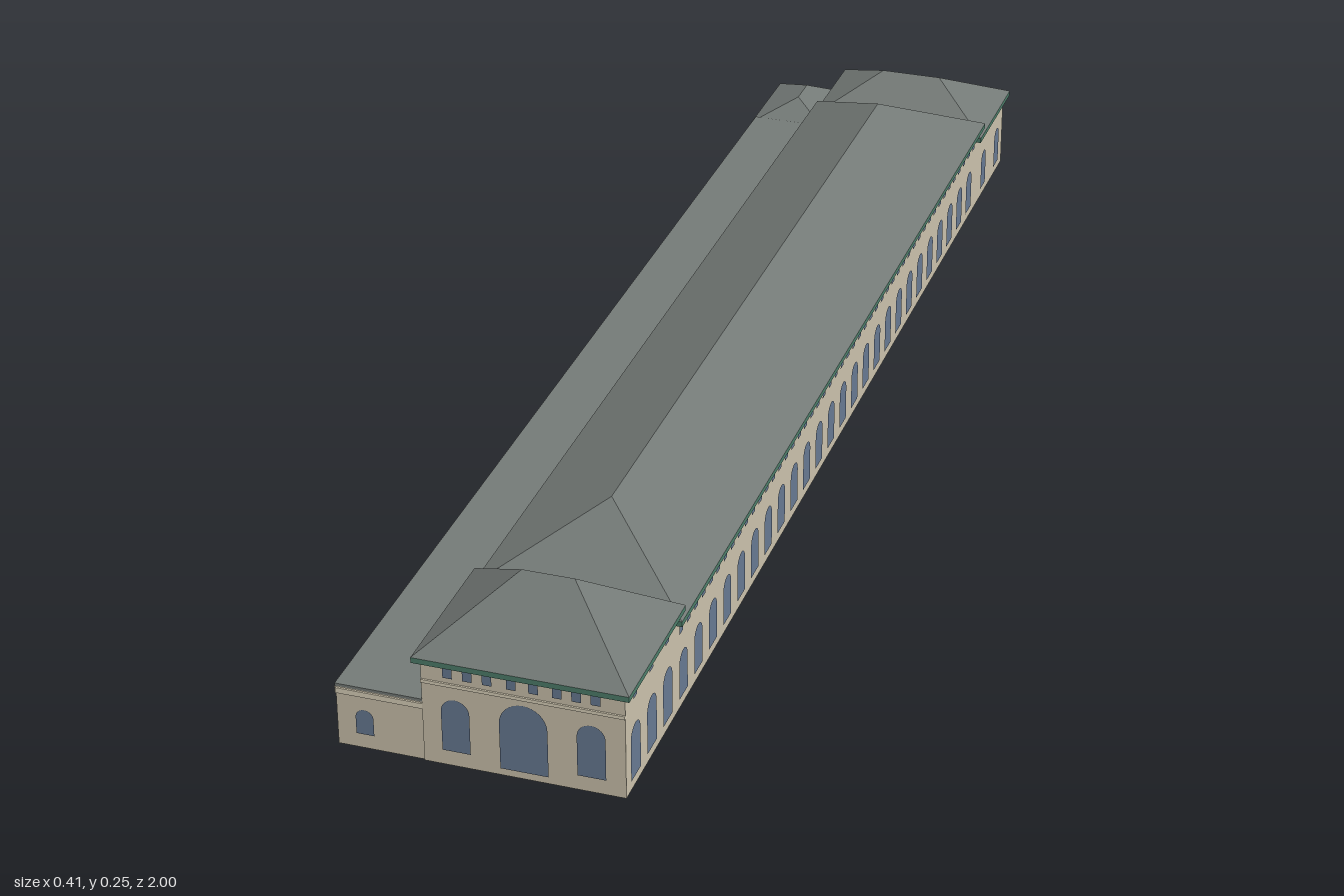
import * as THREE from 'three';

const mat = (name, color, side = THREE.FrontSide) => {
  const m = new THREE.MeshStandardMaterial({ color, side });
  m.name = name;
  return m;
};

export function createModel() {
  const model = new THREE.Group();
  model.name = 'longHall';
  const stone = mat('stone', 0xc9c0aa, THREE.DoubleSide);
  const trim = mat('paleTrim', 0xd8cfb8);
  const slate = mat('slate', 0x737976);
  const green = mat('greenEaves', 0x4c7c69);
  const glass = mat('glass', 0x667891);

  const add = (name, geometry, material, parent = model) => {
    const m = new THREE.Mesh(geometry, material);
    m.name = name;
    parent.add(m);
    return m;
  };

  // Box between two corners
  const block = (name, x0, x1, y0, y1, z0, z1, material) => {
    const g = new THREE.BoxGeometry(x1 - x0, y1 - y0, z1 - z0);
    g.translate((x0 + x1) / 2, (y0 + y1) / 2, (z0 + z1) / 2);
    return add(name, g, material);
  };

  // Four walls, open above and below
  const walls = (name, x0, x1, h, z0, z1) => {
    const m = block(name, x0, x1, 0, h, z0, z1, stone);
    const idx = Array.from(m.geometry.index.array);
    m.geometry.setIndex([...idx.slice(0, 12), ...idx.slice(24, 36)]);
    m.geometry.clearGroups();
  };

  // Hipped roof: base rectangle rising to a ridge line (rx0,rz0)-(rx1,rz1)
  const hipRoof = (name, x0, x1, z0, z1, y0, y1, rx0, rx1, rz0, rz1) => {
    const base = [[x0, y0, z1], [x1, y0, z1], [x1, y0, z0], [x0, y0, z0]];
    const top = [[rx0, y1, rz1], [rx1, y1, rz1], [rx1, y1, rz0], [rx0, y1, rz0]];
    const pos = [];
    for (let i = 0; i < 4; i++) {
      const j = (i + 1) % 4;
      pos.push(...base[i], ...base[j], ...top[j]);
      if (top[i].some((v, k) => v !== top[j][k])) pos.push(...base[i], ...top[j], ...top[i]);
    }
    const g = new THREE.BufferGeometry();
    g.setAttribute('position', new THREE.Float32BufferAttribute(pos, 3));
    g.computeVertexNormals();
    add(name, g, slate);
  };

  // Window outlines standing on y = 0
  const arch = (w, h) => {
    const s = new THREE.Shape();
    s.moveTo(-w / 2, 0);
    s.lineTo(w / 2, 0);
    s.lineTo(w / 2, h - w / 2);
    s.absarc(0, h - w / 2, w / 2, 0, Math.PI, false);
    s.closePath();
    return new THREE.ShapeGeometry(s, 8);
  };
  const pane = (w, h) => new THREE.PlaneGeometry(w, h).translate(0, h / 2, 0);

  // A row of windows on one wall; "at" runs along the wall
  const turn = { front: 0, right: Math.PI / 2, back: Math.PI, left: -Math.PI / 2 };
  const row = (name, face, plane, y, positions, geometry) => {
    const group = new THREE.Group();
    group.name = name;
    const out = plane + (face === 'front' || face === 'right' ? 0.0015 : -0.0015);
    for (const at of positions) {
      const m = add('window', geometry, glass, group);
      m.rotation.y = turn[face];
      if (face === 'front' || face === 'back') m.position.set(at, y, out);
      else m.position.set(out, y, at);
    }
    model.add(group);
  };
  const series = (start, step, n) => Array.from({ length: n }, (_, i) => start + i * step);

  const L = -0.08, R = 0.197, W = -0.201;

  // Main hall
  walls('hallWalls', L, R, 0.14, -0.81, 0.785);
  block('hallEaves', -0.088, 0.206, 0.138, 0.146, -0.825, 0.79, green);
  hipRoof('hallRoof', -0.088, 0.206, -0.825, 0.79, 0.146, 0.227, 0.059, 0.059, -0.675, 0.645);
  row('hallArches', 'right', R, 0.016, series(0.763, -0.0632, 25), arch(0.035, 0.07));
  const clerestory = series(0.771, -0.0316, 50);
  row('clerestoryRight', 'right', R, 0.117, clerestory, pane(0.015, 0.014));
  row('clerestoryLeft', 'left', L, 0.117, clerestory, pane(0.015, 0.014));

  // Front pavilion
  walls('frontPavilionWalls', L, R, 0.156, 0.785, 0.99);
  block('frontPavilionEaves', -0.089, 0.206, 0.155, 0.163, 0.775, 1, green);
  hipRoof('frontPavilionRoof', -0.089, 0.206, 0.775, 1, 0.163, 0.25, 0.023, 0.095, 0.888, 0.888);
  block('frontStringCourse', L, R, 0.122, 0.127, 0.985, 0.9925, trim);
  row('frontSideArches', 'front', 0.99, 0.023, [-0.034, 0.151], arch(0.039, 0.08));
  row('frontMainArch', 'front', 0.99, 0.011, [0.059], arch(0.066, 0.103));
  row('frontAtticWindows', 'front', 0.99, 0.135,
    [-0.043, -0.016, 0.011, 0.044, 0.074, 0.106, 0.132, 0.158], pane(0.013, 0.014));
  const bays = [0.956, 0.892, 0.828];
  row('pavilionArches', 'right', R, 0.016, bays, arch(0.038, 0.08));
  row('pavilionAtticRight', 'right', R, 0.135, bays, pane(0.014, 0.014));
  row('pavilionAtticLeft', 'left', L, 0.135, bays, pane(0.014, 0.014));

  // Back pavilion
  walls('backPavilionWalls', L, R, 0.123, -0.99, -0.81);
  block('backPavilionEaves', -0.089, 0.206, 0.122, 0.13, -1, -0.797, green);
  hipRoof('backPavilionRoof', -0.089, 0.206, -1, -0.797, 0.13, 0.184, 0.007, 0.105, -0.9, -0.9);
  row('backPavilionArches', 'right', R, 0.016, [-0.854, -0.945], arch(0.031, 0.066));
  row('backArches', 'back', -0.99, 0.02, [0.131, 0.063, -0.005], arch(0.033, 0.066));

  // Low side wing with flat roof
  walls('wingWalls', W, L, 0.09, -0.84, 0.988);
  block('wingRoof', W - 0.001, L, 0.09, 0.094, -0.84, 0.989, slate);
  block('wingFrontBand', W, L, 0.08, 0.088, 0.985, 0.9905, trim);
  block('wingSideBand', W - 0.002, W + 0.002, 0.08, 0.088, -0.83, 0.988, trim);
  row('wingFrontWindow', 'front', 0.988, 0.022, [-0.162], arch(0.025, 0.038));
  row('wingArches', 'left', W, 0.022, series(0.955, -0.0637, 31), arch(0.025, 0.038));

  // Small corner pavilion at the back of the wing
  walls('cornerPavilionWalls', W, L, 0.084, -0.99, -0.84);
  block('cornerPavilionEaves', -0.207, -0.075, 0.082, 0.087, -1, -0.832, green);
  hipRoof('cornerPavilionRoof', -0.207, -0.075, -1, -0.832, 0.087, 0.118, -0.141, -0.141, -0.942, -0.89);

  return model;
}
